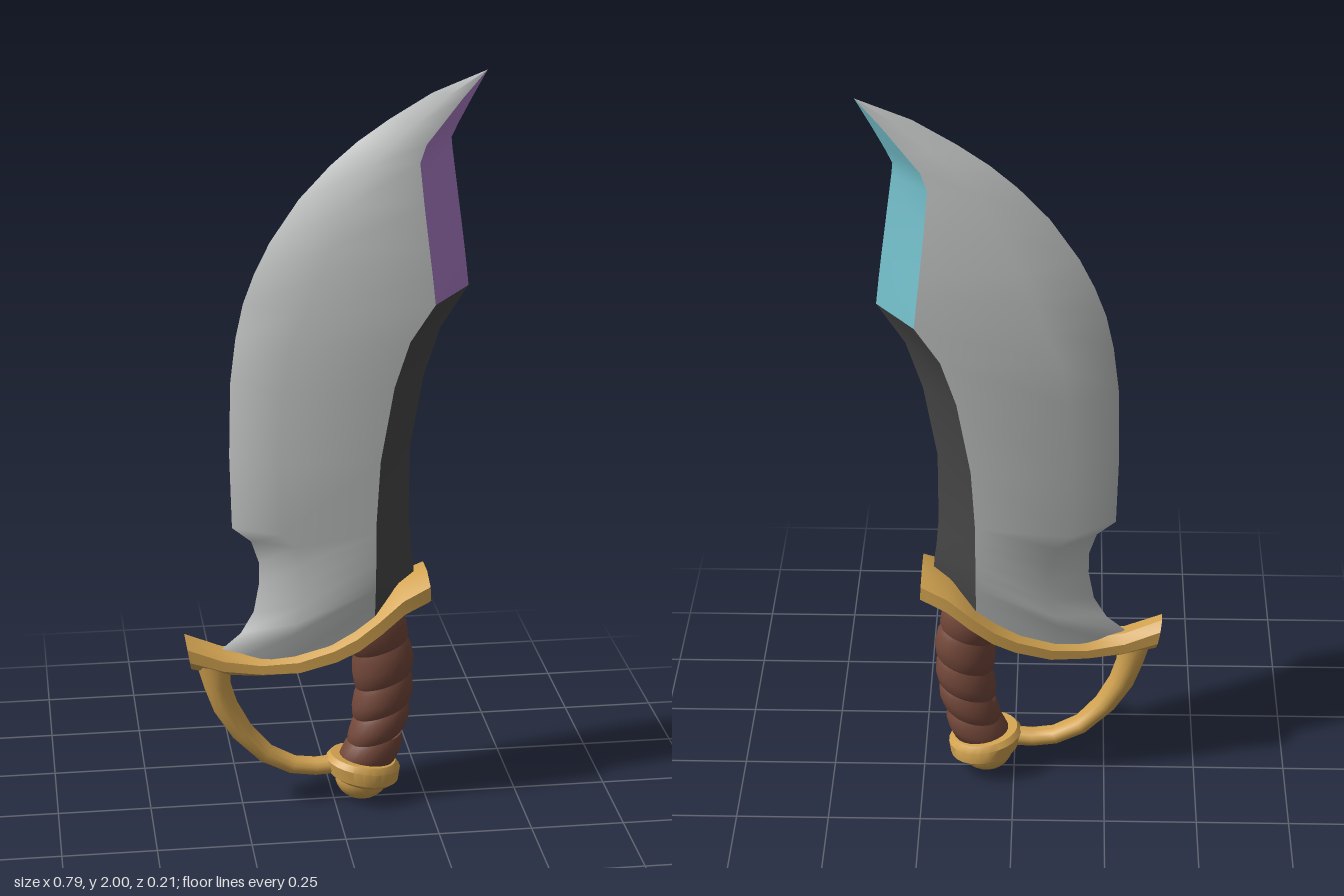
import * as THREE from 'three';
import { toCreasedNormals } from 'three/addons/utils/BufferGeometryUtils.js';

const mat = (name, color) => {
  const m = new THREE.MeshStandardMaterial({ color });
  m.name = name;
  return m;
};

// Surface through rows of points; rows may close into rings with end caps
function skin(rows, { closed = false, flip = false } = {}) {
  const n = rows[0].length, pos = rows.flat(2), idx = [];
  const tri = (a, b, c) => (flip ? idx.push(a, c, b) : idx.push(a, b, c));
  for (let r = 0; r < rows.length - 1; r++) {
    for (let c = 0; c < (closed ? n : n - 1); c++) {
      const d = (c + 1) % n, a = r * n;
      tri(a + c, a + d, a + n + d);
      tri(a + c, a + n + d, a + n + c);
    }
  }
  if (closed) {
    const last = (rows.length - 1) * n;
    for (let c = 1; c < n - 1; c++) {
      tri(0, c + 1, c);
      tri(last, last + c, last + c + 1);
    }
  }
  const g = new THREE.BufferGeometry();
  g.setAttribute('position', new THREE.Float32BufferAttribute(pos, 3));
  g.setIndex(idx);
  g.computeVertexNormals();
  return g;
}

// Sweep of oval rings; each row is [ax, ay, bx, by, half depth], b lying left of travel
function sweep(rows, sides, crease) {
  const scale = 1 / Math.cos(Math.PI / sides);
  const rings = rows.map(([ax, ay, bx, by, w]) =>
    Array.from({ length: sides }, (_, i) => {
      const t = ((i + 0.5) / sides) * Math.PI * 2;
      const k = 0.5 + 0.5 * Math.cos(t) * scale;
      return [ax + (bx - ax) * k, ay + (by - ay) * k, Math.sin(t) * w * scale];
    }));
  return toCreasedNormals(skin(rings, { closed: true }), crease);
}

// Blade stations: edge x,y | ridge x,y | spine x,y | half thickness | bevel share
const BLADE = [
  [-0.29, 0.41, 0.10, 0.51, 0.20, 0.58, 0.07, 0.45],
  [-0.31, 0.45, 0.10, 0.60, 0.215, 0.63, 0.083, 0.45],
  [-0.25, 0.50, 0.10, 0.64, 0.214, 0.66, 0.09, 0.4],
  [-0.215, 0.56, 0.10, 0.68, 0.212, 0.69, 0.094, 0.38],
  [-0.20, 0.64, 0.10, 0.72, 0.207, 0.72, 0.096, 0.36],
  [-0.20, 0.70, 0.10, 0.77, 0.203, 0.77, 0.097, 0.35],
  [-0.22, 0.76, 0.10, 0.80, 0.20, 0.80, 0.097, 0.34],
  [-0.27, 0.80, 0.10, 0.83, 0.20, 0.83, 0.097, 0.32],
  [-0.275, 1.00, 0.11, 1.00, 0.20, 1.00, 0.097, 0.31],
  [-0.27, 1.20, 0.145, 1.20, 0.235, 1.20, 0.097, 0.3],
  [-0.255, 1.32, 0.185, 1.32, 0.278, 1.33, 0.096, 0.3],
];
const TIP = [
  [-0.235, 1.41, 0.25, 1.415, 0.35, 1.44, 0.092, 0.32],
  [-0.205, 1.49, 0.242, 1.49, 0.342, 1.51, 0.088, 0.34],
  [-0.165, 1.57, 0.234, 1.56, 0.333, 1.58, 0.081, 0.36],
  [-0.09, 1.68, 0.222, 1.67, 0.318, 1.69, 0.067, 0.4],
  [-0.01, 1.765, 0.213, 1.775, 0.303, 1.80, 0.048, 0.45],
  [0.06, 1.825, 0.23, 1.82, 0.30, 1.83, 0.04, 0.48],
  [0.14, 1.88, 0.265, 1.86, 0.318, 1.868, 0.03, 0.5],
  [0.25, 1.945, 0.325, 1.93, 0.352, 1.932, 0.014, 0.5],
  [0.39, 2.0, 0.39, 2.0, 0.39, 2.0, 0, 0.5],
];

export function createModel() {
  const group = new THREE.Group();
  const steel = mat('steel', 0xc0c3c2);
  const darkSteel = mat('darkSteel', 0x484848);
  const purple = mat('purple', 0xaa7cc6);
  const teal = mat('teal', 0x78c6d2);
  const gold = mat('gold', 0xd2a350);
  const leather = mat('leather', 0x74483a);
  const add = (name, geometry, material, parent = group) => {
    const m = new THREE.Mesh(geometry, material);
    m.name = name;
    parent.add(m);
    return m;
  };

  // Blade: two mirrored sides, each a steel face plus spine bevels
  const blade = new THREE.Group();
  blade.name = 'blade';
  group.add(blade);
  for (const s of [1, -1]) {
    const side = s > 0 ? 'Front' : 'Back';
    const face = ([lx, ly, mx, my, , , t, f]) => [
      [lx, ly, 0],
      [lx + (mx - lx) * f, ly + (my - ly) * f, s * t],
      [mx, my, s * t * 0.97],
    ];
    const spine = ([, , mx, my, rx, ry, t]) => [[mx, my, s * t * 0.97], [rx, ry, 0]];
    const opt = { flip: s < 0 };
    add('bladeFace' + side, skin([...BLADE, ...TIP].map(face), opt), steel, blade);
    add('spine' + side, skin([...BLADE, TIP[0]].map(spine), opt), darkSteel, blade);
    add('tipBevel' + side, toCreasedNormals(skin(TIP.map(spine), opt), 0.6), s > 0 ? purple : teal, blade);
  }

  // Crossguard: bottom and top outline with depth
  add('crossguard', sweep([
    [-0.385, 0.41, -0.40, 0.50, 0.036],
    [-0.30, 0.39, -0.30, 0.458, 0.044],
    [-0.20, 0.385, -0.20, 0.445, 0.06],
    [-0.10, 0.39, -0.105, 0.46, 0.08],
    [0.00, 0.42, -0.015, 0.495, 0.094],
    [0.06, 0.45, 0.045, 0.53, 0.101],
    [0.12, 0.495, 0.10, 0.575, 0.104],
    [0.18, 0.545, 0.17, 0.635, 0.10],
    [0.25, 0.575, 0.245, 0.667, 0.085],
  ], 8, 0.6), gold);

  // Knuckle bow: outer and inner outline
  add('knuckleBow', sweep([
    [-0.37, 0.42, -0.28, 0.42, 0.036],
    [-0.35, 0.35, -0.28, 0.36, 0.036],
    [-0.325, 0.28, -0.262, 0.30, 0.035],
    [-0.275, 0.20, -0.225, 0.23, 0.033],
    [-0.20, 0.125, -0.17, 0.165, 0.031],
    [-0.12, 0.085, -0.105, 0.13, 0.029],
    [-0.05, 0.075, -0.05, 0.123, 0.028],
    [0.03, 0.08, 0.03, 0.13, 0.028],
  ], 12, 0.7), gold);

  // Grip: tilted leather wraps stacked along a bent axis
  const grip = new THREE.Group();
  grip.name = 'grip';
  group.add(grip);
  const axis = new THREE.CatmullRomCurve3(
    [[0.085, 0.10], [0.118, 0.2], [0.132, 0.3], [0.13, 0.42], [0.095, 0.55]]
      .map(([x, y]) => new THREE.Vector3(x, y, 0)));
  const WRAPS = 5;
  for (let i = 0; i < WRAPS; i++) {
    const rows = [[-0.06, 0.88], [0.1, 1], [0.45, 1.05], [0.85, 1], [1.06, 0.88]].map(([k, s]) => {
      const p = axis.getPoint(THREE.MathUtils.clamp((i + k) / WRAPS, 0, 1));
      const dx = 0.078 * s, dy = (i === 0 ? 0.005 : 0.024) * s;
      return [p.x + dx, p.y + dy, p.x - dx, p.y - dy, 0.066 * s];
    });
    add('wrap' + (i + 1), sweep(rows, 24, 0.8), leather, grip);
  }

  // Pommel: collar and rounded cap
  add('pommelCollar', sweep([
    [0.16, 0.045, 0.005, 0.07, 0.078],
    [0.175, 0.055, -0.012, 0.083, 0.091],
    [0.18, 0.09, -0.02, 0.122, 0.093],
    [0.168, 0.108, -0.008, 0.136, 0.082],
  ], 24, 0.7), gold);
  const cap = add('pommelCap', new THREE.SphereGeometry(0.07, 24, 16), gold);
  cap.position.set(0.077, 0.066, 0);
  cap.scale.set(1.05, 0.943, 1);

  return group;
}
